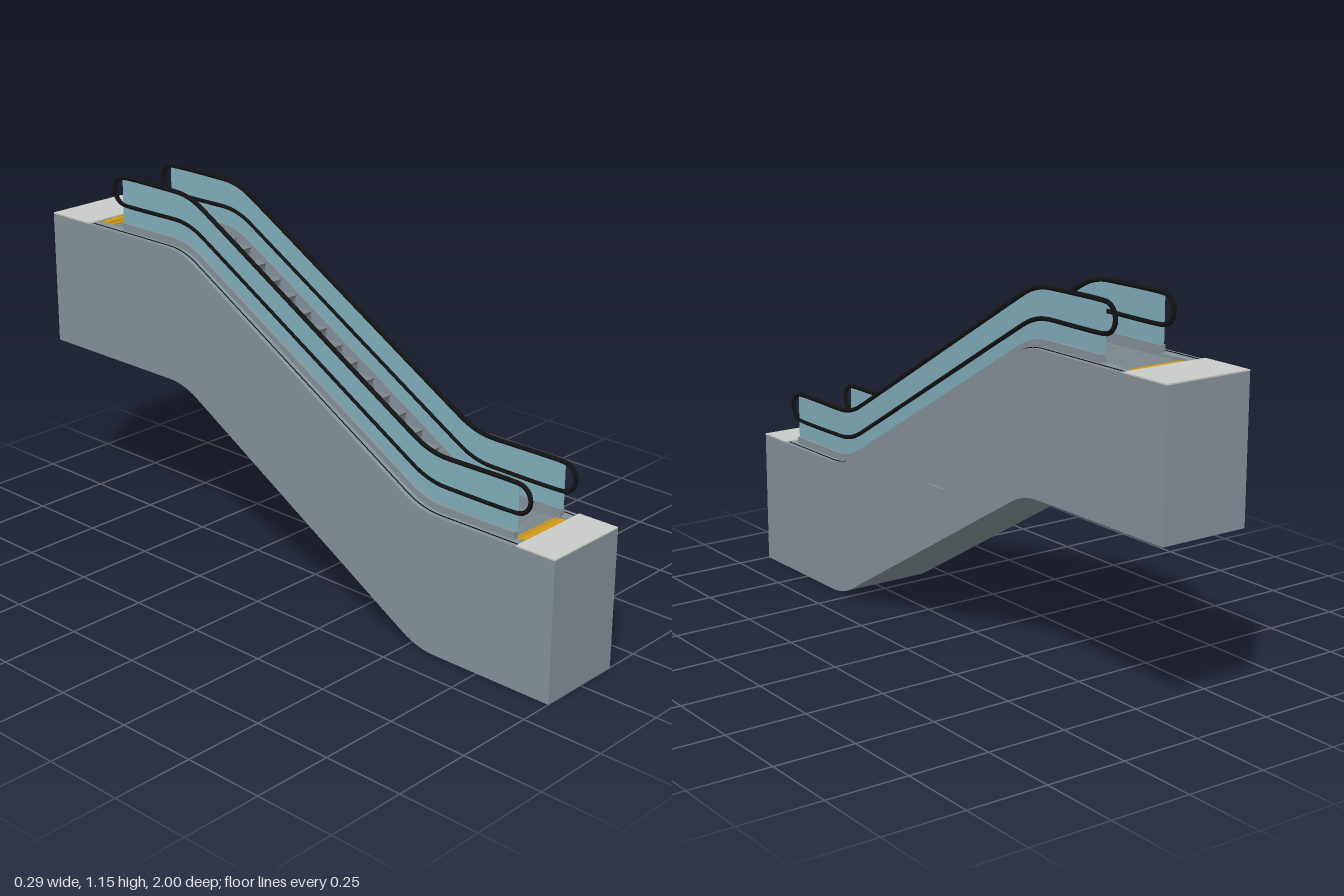
import * as THREE from 'three';
import { toCreasedNormals } from 'three/addons/utils/BufferGeometryUtils.js';

const mat = (name, color, side = THREE.FrontSide) => {
  const m = new THREE.MeshStandardMaterial({ color, side });
  m.name = name;
  return m;
};

// The two bends of the incline, shared by every long part
const LOW = 0.533, HIGH = -0.416, BEND = 0.065;
const STEPS = 15;

// Points (u = -z, v = y) along a flat - incline - flat line
function line(yLow, yHigh, zStart, zEnd) {
  const a = new THREE.Vector2(-LOW, yLow), b = new THREE.Vector2(-HIGH, yHigh);
  const dir = b.clone().sub(a).normalize().multiplyScalar(BEND);
  const flat = new THREE.Vector2(BEND, 0);
  return [
    new THREE.Vector2(-zStart, yLow),
    ...new THREE.QuadraticBezierCurve(a.clone().sub(flat), a, a.clone().add(dir)).getPoints(8),
    ...new THREE.QuadraticBezierCurve(b.clone().sub(dir), b, b.clone().add(flat)).getPoints(8),
    new THREE.Vector2(-zEnd, yHigh),
  ];
}

// Extrude a side outline across the width, from x0 to x1
function across(points, x0, x1) {
  const g = new THREE.ExtrudeGeometry(new THREE.Shape(points), { depth: x1 - x0, bevelEnabled: false });
  g.rotateY(Math.PI / 2);
  g.translate(x0, 0, 0);
  return toCreasedNormals(g, 0.5);
}

// Band between a lower and an upper line
const band = (bottom, top, zStart, zEnd, x0, x1) => across(
  [...line(...bottom, zStart, zEnd), ...line(...top, zStart, zEnd).reverse()], x0, x1);

export function createModel() {
  const model = new THREE.Group();
  model.name = 'escalator';
  const body = mat('body grey', 0x85929a);
  const stepMat = mat('step grey', 0x7b878d);
  const plate = mat('floor plate light grey', 0xc8ccc8);
  const glass = mat('glass blue', 0x80afbd);
  const rubber = mat('handrail black', 0x121212);
  const yellow = mat('comb yellow', 0xd09a1c);

  const add = (name, geometry, material, parent = model) => {
    const m = new THREE.Mesh(geometry, material);
    m.name = name;
    parent.add(m);
    return m;
  };
  const box = (name, x0, x1, y0, y1, z0, z1, material, parent) => {
    const m = add(name, new THREE.BoxGeometry(x1 - x0, y1 - y0, z1 - z0), material, parent);
    m.position.set((x0 + x1) / 2, (y0 + y1) / 2, (z0 + z1) / 2);
    return m;
  };

  // Truss: core below the steps, closed ends and two side walls
  const W = 0.141, INNER = 0.096;
  add('trussCore', band([0, 0.555], [0.37, 0.918], 1, -1, -INNER, INNER), body);
  box('lowerEnd', -INNER, INNER, 0.36, 0.428, 0.87, 1, body);
  box('upperEnd', -INNER, INNER, 0.9, 0.976, -1, -0.83, body);
  box('sideHatch', W, W + 0.006, 0.41, 0.483, -0.035, 0.04, body);

  // Floor plates at both landings
  box('lowerFloorPlate', -W, W, 0.428, 0.432, 0.87, 1, plate);
  box('upperFloorPlate', -W, W, 0.976, 0.98, -1, -0.83, plate);

  // Balustrades, one per side
  for (const s of [-1, 1]) {
    const side = new THREE.Group();
    side.name = s > 0 ? 'leftBalustrade' : 'rightBalustrade';
    model.add(side);
    const span = (a, b) => (s > 0 ? [a, b] : [-b, -a]);
    add('sideWall', band([0, 0.555], [0.428, 0.976], 1, -1, ...span(INNER, W)), body, side);
    add('skirt', band([0.42, 0.968], [0.45, 0.998], 0.84, -0.705, ...span(0.093, 0.112)), body, side);
    add('deckGroove', band([0.427, 0.975], [0.43, 0.978], 0.865, -0.825, ...span(0.1255, 0.128)), rubber, side);
    add('glassPanel', band([0.449, 0.997], [0.588, 1.136], 0.845, -0.71, ...span(0.098, 0.102)), glass, side);

    // Handrail loop: top run, rounded end, return run, rounded end
    const R = 0.043;
    const cap = (z, y, start) => [1, 2, 3, 4, 5, 6, 7].map((i) => {
      const t = start - (i * Math.PI) / 8;
      return new THREE.Vector2(-z + R * Math.cos(t), y + R * Math.sin(t));
    });
    const loop = [
      ...line(0.504 + 2 * R, 1.053 + 2 * R, 0.84, -0.706),
      ...cap(-0.706, 1.053 + R, Math.PI / 2),
      ...line(0.504, 1.053, 0.84, -0.706).reverse(),
      ...cap(0.84, 0.504 + R, -Math.PI / 2),
    ].map((p) => new THREE.Vector3(s * 0.1, p.y, -p.x));
    const path = new THREE.CatmullRomCurve3(loop, true, 'centripetal');
    path.arcLengthDivisions = 1200;
    add('handrail', new THREE.TubeGeometry(path, 320, 0.0068, 10, true), rubber, side);
  }

  // Moving steps with curved risers
  const run = (LOW - HIGH) / STEPS, rise = 0.548 / STEPS;
  const stepShape = [
    [0, 0], [0.006, -0.012], [0.008, -0.026], [0.006, -0.045],
    [run + 0.008, -0.045], [run + 0.008, 0],
  ].map(([u, v]) => new THREE.Vector2(u, v));
  const stepGeo = across(stepShape, -INNER, INNER);
  for (let i = 0; i < STEPS; i++) {
    add('step', stepGeo, stepMat).position.set(0, 0.42 + (i + 0.5) * rise, LOW - i * run);
  }

  // Level treads at the landings
  const treads = (name, y, cuts) => {
    for (let i = 0; i + 1 < cuts.length; i++) {
      box(name, -INNER, INNER, y - 0.055, y, cuts[i] + 0.001, cuts[i + 1] - 0.001, stepMat);
    }
  };
  treads('lowerTread', 0.42, [LOW - 0.01, 0.62, 0.77, 0.871]);
  treads('upperTread', 0.968, [-0.831, -0.765, -0.64, -0.56, -0.49, HIGH + 0.002]);

  // Yellow combs with teeth, edging the floor plates
  for (const [name, y, z, d] of [['lowerComb', 0.42, 0.87, -1], ['upperComb', 0.968, -0.83, 1]]) {
    const comb = new THREE.Group();
    comb.name = name;
    model.add(comb);
    const ends = (a, b) => [z + d * a, z + d * b].sort((p, q) => p - q);
    box('combStrip', -0.09, 0.09, y, y + 0.007, ...ends(0, 0.025), yellow, comb);
    for (let i = 0; i < 16; i++) {
      const x = -0.087 + i * 0.0116;
      box('combTooth', x - 0.003, x + 0.003, y, y + 0.004, ...ends(0.025, 0.045), yellow, comb);
    }
  }

  model.position.x = -0.003;
  return model;
}
